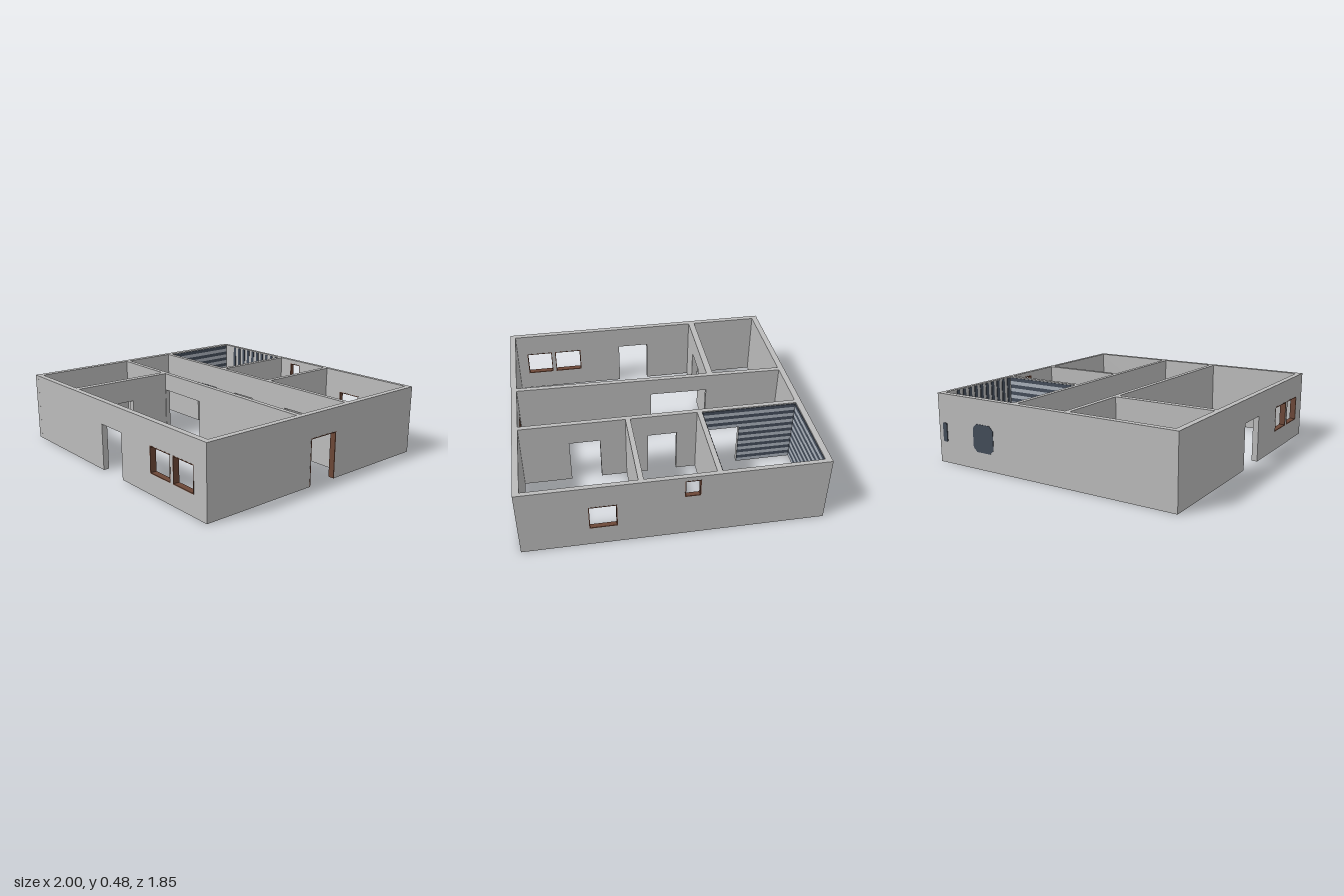
import * as THREE from 'three';

const H = 0.48; // wall height
const DOOR_TOP = 0.32;

export function createModel() {
  const model = new THREE.Group();
  model.name = 'floorPlanHouse';

  const mat = (name, color) => {
    const m = new THREE.MeshStandardMaterial({ color });
    m.name = name;
    return m;
  };
  const plaster = mat('grey plaster', 0xbbbbbb);
  const wood = mat('brown wood', 0x6b4636);
  const darkTile = mat('dark slate tile', 0x434c59);
  const lightTile = mat('pale slate tile', 0xaab1bb);

  const box = (parent, name, material, x0, x1, y0, y1, z0, z1) => {
    const mesh = new THREE.Mesh(new THREE.BoxGeometry(x1 - x0, y1 - y0, z1 - z0), material);
    mesh.position.set((x0 + x1) / 2, (y0 + y1) / 2, (z0 + z1) / 2);
    mesh.name = name;
    parent.add(mesh);
    return mesh;
  };

  // Timber lining around the reveal of an opening
  const lining = (group, a, b, y0, y1, t) => {
    const w = 0.006, d = t / 2 + 0.001;
    box(group, 'frameJamb', wood, a, a + w, y0, y1, -d, d);
    box(group, 'frameJamb', wood, b - w, b, y0, y1, -d, d);
    box(group, 'frameHead', wood, a, b, y1 - w, y1, -d, d);
    if (y0 > 0) box(group, 'frameSill', wood, a, b, y0, y0 + w, -d, d);
  };

  // Wall along a centre line; openings are in distance along the main axis
  const wall = (name, [ax, az], [bx, bz], t, openings = []) => {
    const dx = bx - ax, dz = bz - az;
    const len = Math.hypot(dx, dz);
    const start = Math.abs(dx) > Math.abs(dz) ? ax : az;
    const group = new THREE.Group();
    group.name = name;
    group.position.set(ax, 0, az);
    group.rotation.y = Math.atan2(-dz, dx);

    const shape = new THREE.Shape();
    shape.moveTo(0, 0);
    for (const { from, to, y0 = 0, y1 = DOOR_TOP, framed } of openings) {
      const a = from - start, b = to - start;
      if (y0 === 0) {
        shape.lineTo(a, 0);
        shape.lineTo(a, y1);
        shape.lineTo(b, y1);
        shape.lineTo(b, 0);
      } else {
        const hole = new THREE.Path();
        hole.moveTo(a, y0);
        hole.lineTo(a, y1);
        hole.lineTo(b, y1);
        hole.lineTo(b, y0);
        hole.closePath();
        shape.holes.push(hole);
      }
      if (framed) lining(group, a, b, y0, y1, t);
    }
    shape.lineTo(len, 0);
    shape.lineTo(len, H);
    shape.lineTo(0, H);
    shape.closePath();

    const geo = new THREE.ExtrudeGeometry(shape, { depth: t, bevelEnabled: false });
    geo.translate(0, 0, -t / 2);
    const mesh = new THREE.Mesh(geo, plaster);
    mesh.name = name + 'Panel';
    group.add(mesh);
    model.add(group);
  };

  // Outer walls
  wall('frontWall', [-1, 0.9], [1, 0.9], 0.04, [
    { from: -0.085, to: 0.145 },
    { from: 0.46, to: 0.665, y0: 0.14, framed: true },
    { from: 0.69, to: 0.885, y0: 0.14, framed: true },
  ]);
  wall('backWall', [-0.985, -0.91], [1, -0.91], 0.03, [
    { from: -0.147, to: -0.045, y0: 0.32, y1: 0.45, framed: true },
    { from: 0.38, to: 0.56, y0: 0.14, framed: true },
  ]);
  wall('leftSideWall', [0.98, -0.925], [0.98, 0.92], 0.04, [
    { from: -0.14, to: 0.09, framed: true },
  ]);
  wall('rightSideWall', [-0.965, -0.925], [-0.978, 0.92], 0.042);

  // Inner walls
  wall('corridorBackWall', [-0.96, -0.275], [0.97, -0.275], 0.033, [
    { from: -0.553, to: -0.324 },
    { from: -0.112, to: 0.09 },
    { from: 0.42, to: 0.63 },
  ]);
  wall('corridorFrontWall', [-0.96, 0.135], [0.97, 0.17], 0.034, [
    { from: -0.41, to: 0, y1: 0.355 },
  ]);
  wall('backPartition', [-0.267, -0.9], [-0.267, -0.28], 0.034);
  wall('backPartition', [0.226, -0.9], [0.226, -0.28], 0.034);
  wall('frontPartition', [-0.438, 0.15], [-0.45, 0.89], 0.045, [
    { from: 0.45, to: 0.68 },
  ]);

  // Striped tiles of the back corner room
  const tiles = new THREE.Group();
  tiles.name = 'stripedTiles';
  model.add(tiles);
  const x0 = -0.947, x1 = -0.284, z0 = -0.895, z1 = -0.2915, d = 0.004;
  const step = 0.026;
  for (let i = 0; i < 18; i++) {
    const y = 0.005 + i * step, top = y + step;
    const m = i % 2 ? darkTile : lightTile;
    box(tiles, 'sideTileRow', m, x0, x0 + d, y, top, z0, z1);
    box(tiles, 'partitionTileRow', m, x1 - d, x1, y, top, z0, z1);
    // Rows stop at the doorway
    const spans = y < DOOR_TOP - 0.01 ? [[x0, -0.553], [-0.324, x1]] : [[x0, x1]];
    for (const [a, b] of spans) box(tiles, 'doorTileRow', m, a, b, y, top, z1 - d, z1);
  }
  for (let x = -0.84; x < -0.31; x += 0.057) {
    box(tiles, 'backTileColumn', darkTile, x, x + 0.027, 0.005, 0.473, z0, z0 + d);
  }

  // Dark plates on the outside of the right side wall
  const plate = (name, za, zb, ya, yb, c) => {
    const s = new THREE.Shape();
    s.setFromPoints([
      [za + c, ya], [zb - c, ya], [zb, ya + c], [zb, yb - c],
      [zb - c, yb], [za + c, yb], [za, yb - c], [za, ya + c],
    ].map(([z, y]) => new THREE.Vector2(z, y)));
    const mesh = new THREE.Mesh(
      new THREE.ExtrudeGeometry(s, { depth: 0.006, bevelEnabled: false }), darkTile);
    mesh.rotation.y = -Math.PI / 2; // local x runs along +z, depth along -x
    mesh.position.x = -0.986;
    mesh.name = name;
    model.add(mesh);
  };
  plate('outerPlate', -0.613, -0.44, 0.12, 0.31, 0.03);
  plate('outerSlot', -0.888, -0.852, 0.15, 0.28, 0.004);

  return model;
}
